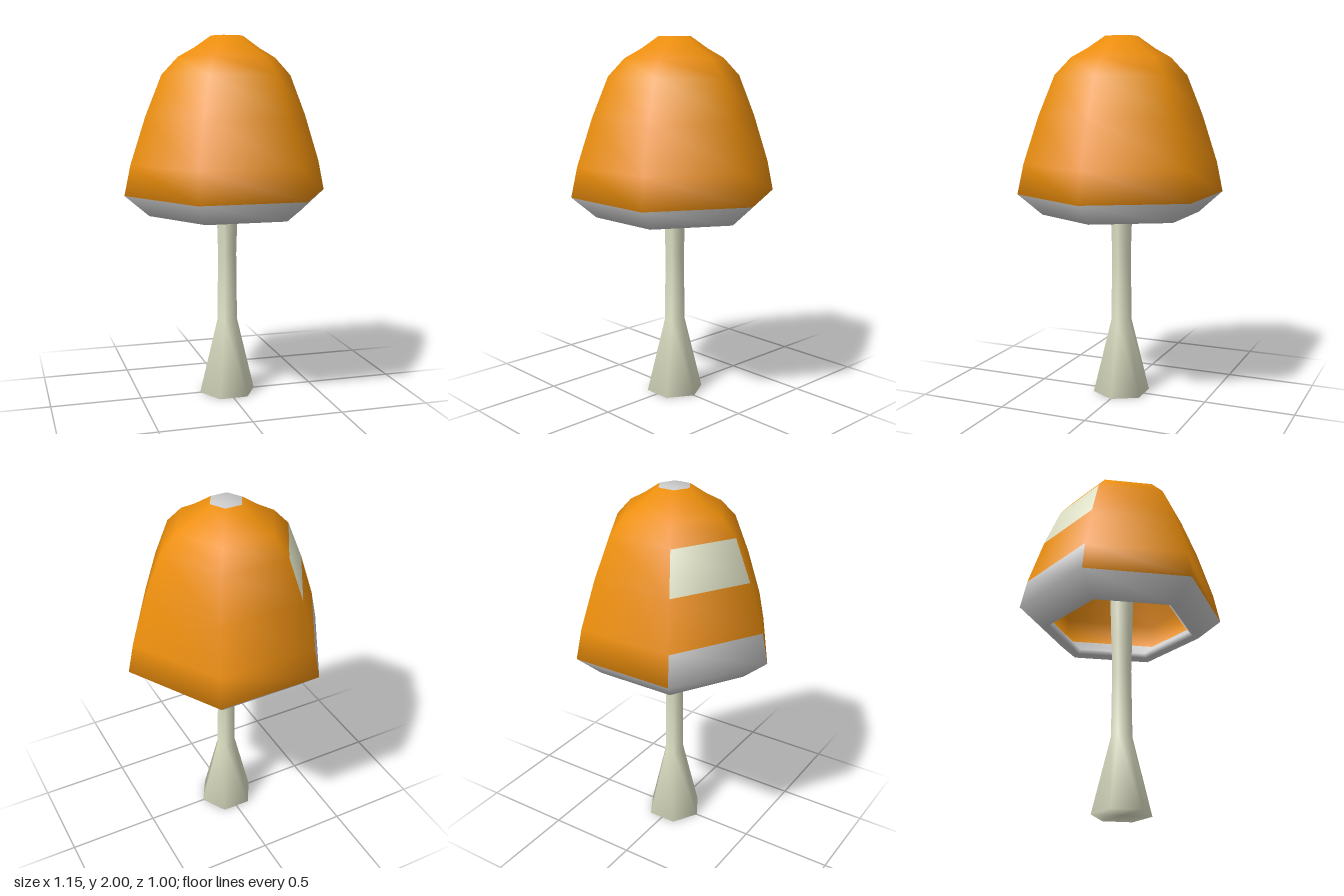
import * as THREE from 'three';

const SIDES = 6;
const ORANGE = 0xec8e0c, CREAM = 0xe0e2c6, GREY = 0xcccccc;

// six-sided lathe with corners on the x axis
function hexLathe(profile) {
  const points = profile.map(([r, y]) => new THREE.Vector2(r, y));
  return new THREE.LatheGeometry(points, SIDES, Math.PI / 2);
}

// keeps only the panels (side, row) of a lathe that pass the test, sharing its smooth normals
function pickPanels(lathe, rows, test) {
  const index = [];
  for (let side = 0; side < SIDES; side++) {
    for (let row = 0; row < rows; row++) {
      if (!test(side, row)) continue;
      const start = 6 * (side * rows + row);
      for (let k = 0; k < 6; k++) index.push(lathe.index.getX(start + k));
    }
  }
  const geometry = lathe.clone();
  geometry.setIndex(index);
  return geometry;
}

function addMesh(group, name, geometry, color) {
  const mesh = new THREE.Mesh(geometry, new THREE.MeshStandardMaterial({ color }));
  mesh.name = name;
  group.add(mesh);
}

export function createModel() {
  const model = new THREE.Group();
  model.name = 'mushroom';

  // stem: flared foot, slim neck, running up inside the cap
  addMesh(model, 'stem', hexLathe([
    [0, 0], [0.16, 0], [0.058, 0.42], [0.053, 0.8], [0.06, 1.03], [0.07, 1.4], [0.07, 1.92],
  ]), CREAM);

  // cap shell: inside from the crown down, round the lip, then up the outside
  const profile = [
    [0, 1.95], [0.08, 1.95], [0.24, 1.85], [0.33, 1.77], [0.425, 1.56], [0.51, 1.3], [0.53, 1.17],
    [0.385, 1.065], [0.41, 1.045], [0.44, 1.03],
    [0.575, 1.145], [0.54, 1.31], [0.455, 1.57], [0.365, 1.79], [0.275, 1.885], [0.185, 1.935],
    [0.09, 2], [0, 2],
  ];
  const rows = profile.length - 1;
  const lathe = hexLathe(profile);
  const BAND = 10, PATCH = 12, CROWN = 16, ODD_SIDE = 2;

  // one side of the cap carries a grey rim panel and a cream patch
  const isRimPanel = (side, row) => side === ODD_SIDE && row === BAND;
  const isPatch = (side, row) => side === ODD_SIDE && row === PATCH;

  const cap = new THREE.Group();
  cap.name = 'cap';
  model.add(cap);
  const add = (name, color, test) => addMesh(cap, name, pickPanels(lathe, rows, test), color);
  add('capLining', ORANGE, (s, r) => r < 6);
  add('capUnderside', GREY, (s, r) => r >= 6 && r < BAND);
  add('capOutside', ORANGE, (s, r) => r >= BAND && r < CROWN && !isRimPanel(s, r) && !isPatch(s, r));
  add('rimPanel', GREY, isRimPanel);
  add('creamPatch', CREAM, isPatch);
  add('crown', GREY, (s, r) => r === CROWN);

  return model;
}
